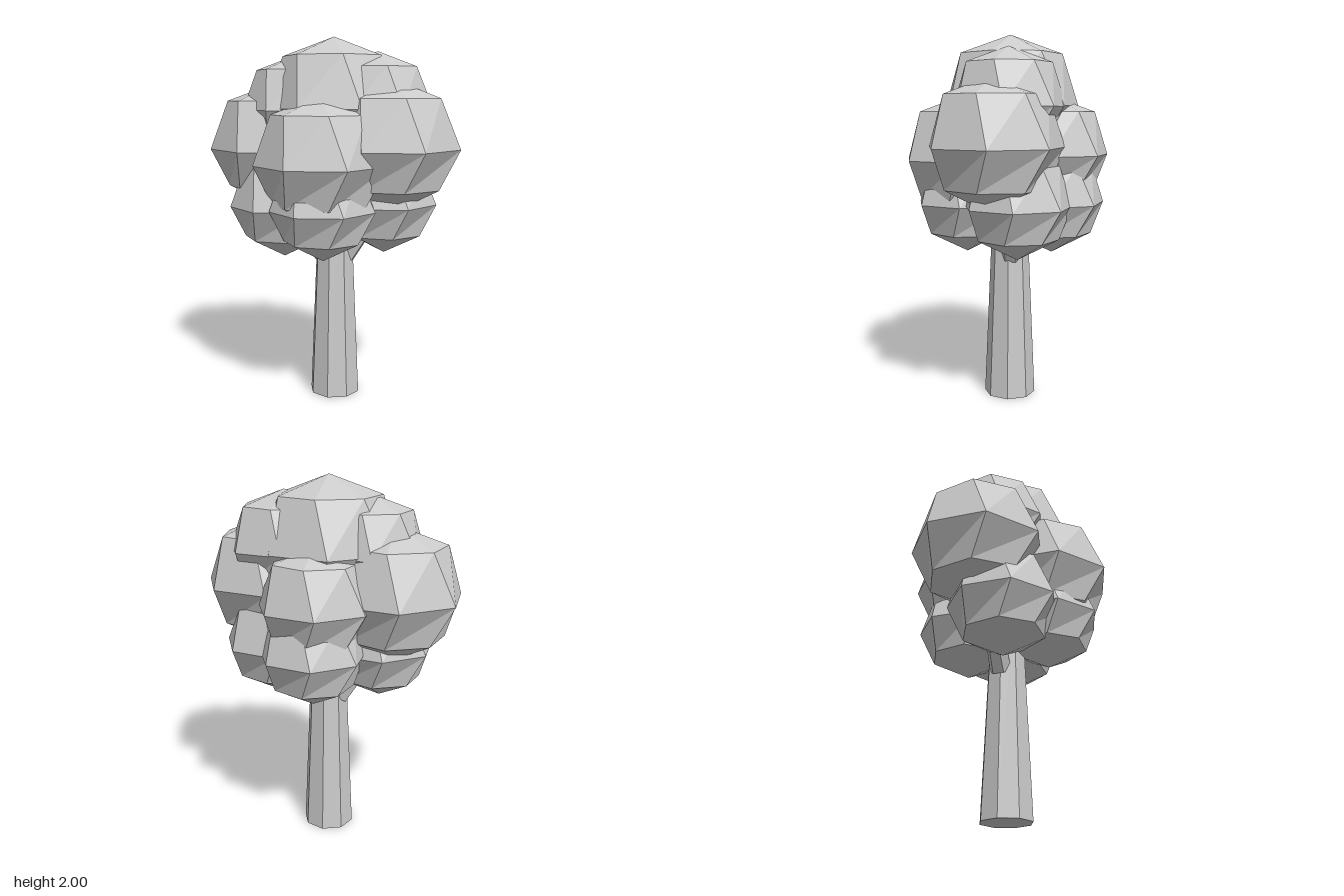
import * as THREE from 'three';

const SIDES = 7;
const STEP = (Math.PI * 2) / SIDES;

// Foliage clump: two poles and three rings; the middle ring is turned a quarter
// step, which leaves the upper band convex and the lower band folded inwards
function clumpGeometry() {
  const rings = [[0.73, 0.74, 0], [0, 1, 0.25], [-0.58, 0.74, 0]]; // height, radius, turn
  const pos = [0, 1, 0];
  for (const [y, r, turn] of rings) {
    for (let k = 0; k < SIDES; k++) {
      const a = Math.PI + STEP * (k + turn);
      pos.push(r * Math.sin(a), y, r * Math.cos(a));
    }
  }
  pos.push(0, -0.96, 0);
  const at = (ring, k) => 1 + ring * SIDES + (k % SIDES);
  const bottom = 1 + rings.length * SIDES;
  const index = [];
  for (let k = 0; k < SIDES; k++) {
    index.push(0, at(0, k), at(0, k + 1));
    for (let r = 0; r < rings.length - 1; r++) {
      index.push(at(r + 1, k), at(r + 1, k + 1), at(r, k + 1));
      index.push(at(r + 1, k), at(r, k + 1), at(r, k));
    }
    index.push(bottom, at(2, k + 1), at(2, k));
  }
  const g = new THREE.BufferGeometry();
  g.setAttribute('position', new THREE.Float32BufferAttribute(pos, 3));
  g.setIndex(index);
  const flat = g.toNonIndexed();
  flat.computeVertexNormals();
  return flat;
}

export function createModel() {
  const group = new THREE.Group();
  const material = new THREE.MeshStandardMaterial({ color: 0xcccccc, flatShading: true });
  const add = (name, geometry, parent = group) => {
    const mesh = new THREE.Mesh(geometry, material);
    mesh.name = name;
    parent.add(mesh);
    return mesh;
  };

  // Tapered trunk, reaching up into the foliage
  const trunk = add('trunk', new THREE.CylinderGeometry(0.09, 0.142, 1.2, 8));
  trunk.position.set(0.004, 0.6, -0.028);

  // Short branches rising to both sides
  const up = new THREE.Vector3(0, 1, 0);
  for (const [name, side] of [['leftBranch', 1], ['rightBranch', -1]]) {
    const from = new THREE.Vector3(side * 0.06, 0.8, -0.04);
    const to = new THREE.Vector3(side * 0.28, 1.12, -0.04);
    const dir = to.clone().sub(from);
    const branch = add(name, new THREE.CylinderGeometry(0.045, 0.06, dir.length(), 6));
    branch.position.copy(from).lerp(to, 0.5);
    branch.quaternion.setFromUnitVectors(up, dir.normalize());
  }

  // Foliage clumps: name, x, y, z, radius
  const foliage = new THREE.Group();
  foliage.name = 'foliage';
  group.add(foliage);
  const clump = clumpGeometry();
  const clumps = [
    ['topClump', 0, 1.62, -0.03, 0.38],
    ['upperLeftClump', 0.24, 1.615, -0.04, 0.305],
    ['upperRightClump', -0.22, 1.61, -0.03, 0.295],
    ['middleFrontClump', 0, 1.33, 0.21, 0.357],
    ['middleBackClump', 0.01, 1.36, -0.255, 0.315],
    ['middleLeftClump', 0.34, 1.41, 0.02, 0.362],
    ['middleRightClump', -0.36, 1.39, -0.07, 0.367],
    ['lowerFrontClump', 0.01, 1.09, 0.21, 0.285],
    ['lowerBackClump', 0.03, 1.1, -0.26, 0.29],
    ['lowerLeftClump', 0.272, 1.1, -0.09, 0.292],
    ['lowerRightClump', -0.27, 1.08, 0.04, 0.3],
  ];
  for (const [name, x, y, z, r] of clumps) {
    const mesh = add(name, clump, foliage);
    mesh.position.set(x, y, z);
    mesh.scale.setScalar(r);
  }
  return group;
}
